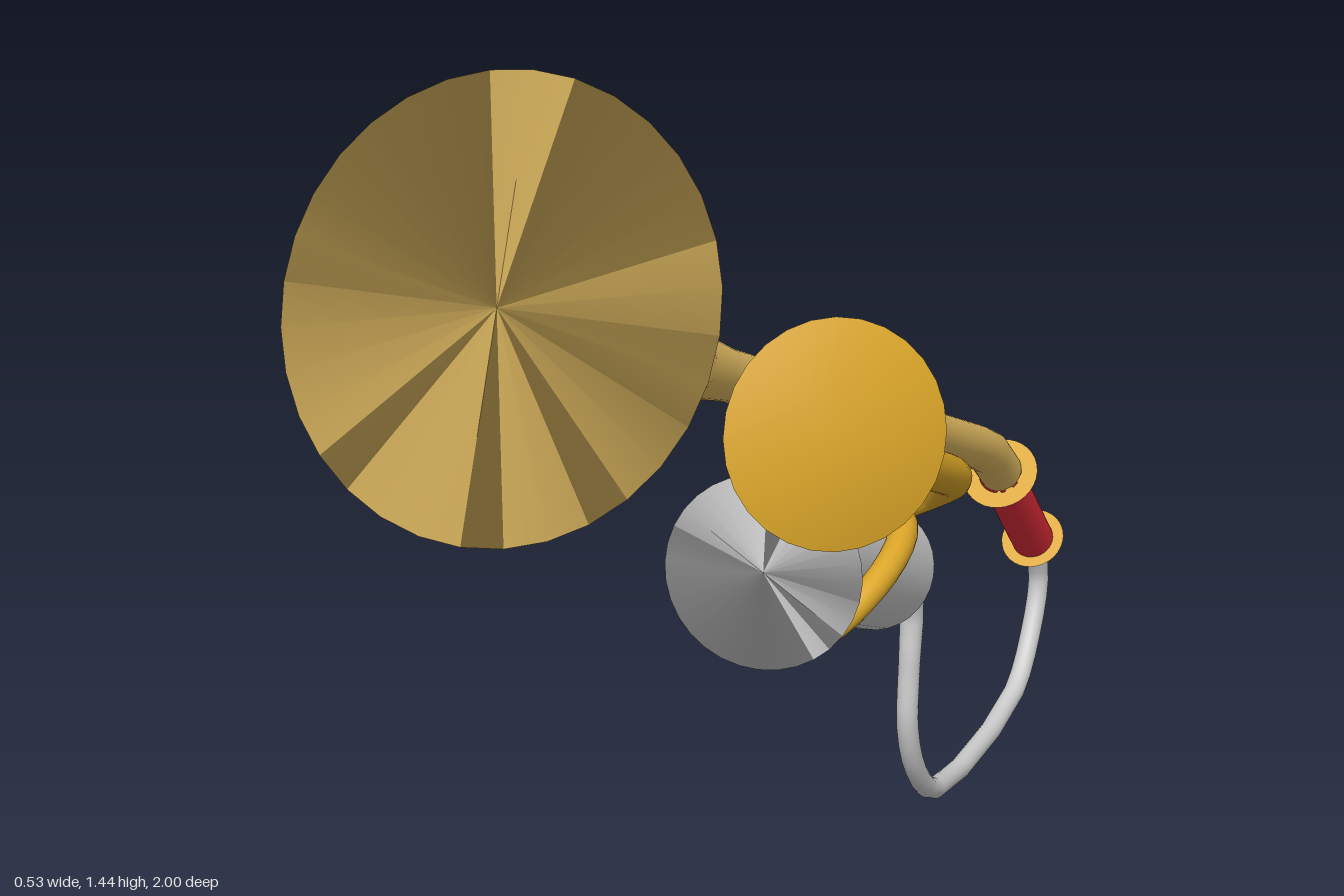
import * as THREE from 'three';

const TAN = 0xdeb860, GOLD = 0xdaa528, RED = 0xdc2c38, GREY = 0xcccccc;
const X = -0.013; // plane of the main tube

// Sweeps a circle along rows of [x, y, z, radius], closing both ends.
// radial: normals point straight out from the path, also on the end discs.
function sweep(name, color, rows, { steps = 1, sides = 32, radial = true } = {}) {
  const curve = new THREE.CatmullRomCurve3(rows.map(r => new THREE.Vector3(r[0], r[1], r[2])));
  const count = (rows.length - 1) * steps;
  const rings = [];
  for (let i = 0; i <= count; i++) {
    const k = Math.min(Math.floor(i / steps), rows.length - 2), f = i / steps - k;
    rings.push({
      p: curve.getPoint(i / count),
      t: curve.getTangent(i / count),
      r: THREE.MathUtils.lerp(rows[k][3], rows[k + 1][3], f)
    });
  }
  rings.unshift({ ...rings[0], r: 0 });
  rings.push({ ...rings[rings.length - 1], r: 0 });

  const pos = [], nor = [], index = [];
  const n = new THREE.Vector3(1, 0, 0), b = new THREE.Vector3(), d = new THREE.Vector3();
  if (Math.abs(rings[0].t.x) > 0.8) n.set(0, 1, 0);
  rings.forEach(({ p, t, r }, i) => {
    n.addScaledVector(t, -n.dot(t)).normalize(); // carry the frame along the path
    b.crossVectors(t, n);
    for (let j = 0; j < sides; j++) {
      const a = j / sides * Math.PI * 2;
      d.copy(n).multiplyScalar(Math.cos(a)).addScaledVector(b, Math.sin(a));
      nor.push(d.x, d.y, d.z);
      pos.push(p.x + d.x * r, p.y + d.y * r, p.z + d.z * r);
      if (i === rings.length - 1) continue;
      const v = i * sides + j, w = i * sides + (j + 1) % sides;
      index.push(v, w, v + sides, w, w + sides, v + sides);
    }
  });
  const g = new THREE.BufferGeometry();
  g.setAttribute('position', new THREE.Float32BufferAttribute(pos, 3));
  g.setAttribute('normal', new THREE.Float32BufferAttribute(nor, 3));
  g.setIndex(index);
  if (!radial) g.computeVertexNormals();
  const mesh = new THREE.Mesh(g, new THREE.MeshStandardMaterial({ color }));
  mesh.name = name;
  return mesh;
}

// Thin flat collar facing along dir
function collar(name, center, radius, dir) {
  const mesh = new THREE.Mesh(
    new THREE.CircleGeometry(radius, 32),
    new THREE.MeshStandardMaterial({ color: GOLD, side: THREE.DoubleSide })
  );
  mesh.name = name;
  mesh.position.copy(center);
  mesh.quaternion.setFromUnitVectors(new THREE.Vector3(0, 0, 1), dir);
  return mesh;
}

export function createModel() {
  const model = new THREE.Group();
  model.name = 'horn';

  // Long main tube widening into the large bell
  model.add(sweep('mainHorn', TAN, [
    [X, 0.425, -0.775, 0.033],
    [X, 0.475, -0.715, 0.033],
    [X, 0.505, -0.655, 0.033],
    [X, 0.928, 0.30, 0.033],
    [X, 0.981, 0.42, 0.042],
    [X, 1.078, 0.637, 0.12],
    [X, 1.195, 0.90, 0.25]
  ]));

  // Red grip with a collar at each end
  const gripTop = new THREE.Vector3(X, 0.42, -0.775), gripEnd = new THREE.Vector3(X, 0.25, -0.945);
  const gripDir = gripTop.clone().sub(gripEnd).normalize();
  model.add(sweep('grip', RED, [[...gripEnd, 0.033], [...gripTop, 0.033]]));
  model.add(collar('upperCollar', gripTop, 0.058, gripDir));
  model.add(collar('lowerCollar', gripEnd, 0.05, gripDir));

  // Grey joint below the grip
  model.add(sweep('mouthJoint', GREY, [
    [X, 0.215, -0.968, 0.022],
    [X, 0.25, -0.945, 0.03]
  ]));

  // Thin hose from the grip down and up to the chamber
  model.add(sweep('hose', GREY, [
    [X, 0.235, -0.957, 0.017],
    [X, 0.165, -0.982, 0.016],
    [X, 0.085, -0.945, 0.016],
    [X, 0.017, -0.865, 0.016],
    [X, 0.017, -0.49, 0.016],
    [X, 0.085, -0.405, 0.016],
    [X, 0.17, -0.367, 0.016],
    [X, 0.27, -0.372, 0.016],
    [X, 0.36, -0.378, 0.018],
    [X, 0.42, -0.335, 0.022]
  ], { steps: 3, sides: 20 }));

  // Grey chamber with a flared mouth
  model.add(sweep('chamber', GREY, [
    [X, 0.405, -0.35, 0.02],
    [X, 0.435, -0.305, 0.036],
    [X, 0.475, -0.225, 0.087],
    [X, 0.55, -0.06, 0.088],
    [X, 0.627, 0.13, 0.088],
    [0, 0.637, 0.212, 0.128]
  ]));

  // Side horn: curls round the chamber, loops back and opens into a small bell
  model.add(sweep('sideHorn', GOLD, [
    [-0.01, 0.515, 0.16, 0.018],
    [0.05, 0.53, 0.135, 0.018],
    [0.09, 0.57, 0.06, 0.019],
    [0.088, 0.6, -0.06, 0.02],
    [0.03, 0.595, -0.16, 0.022],
    [-0.045, 0.535, -0.225, 0.024],
    [-0.1, 0.488, -0.31, 0.026],
    [-0.108, 0.47, -0.4, 0.027],
    [-0.04, 0.485, -0.492, 0.028],
    [0.02, 0.53, -0.45, 0.029],
    [0.034, 0.58, -0.35, 0.03],
    [0.034, 0.735, 0.0, 0.031],
    [0.034, 0.81, 0.165, 0.036],
    [0.05, 0.84, 0.225, 0.058],
    [0.095, 0.872, 0.29, 0.095],
    [0.155, 0.893, 0.36, 0.14]
  ], { steps: 4, sides: 28, radial: false }));

  return model;
}
